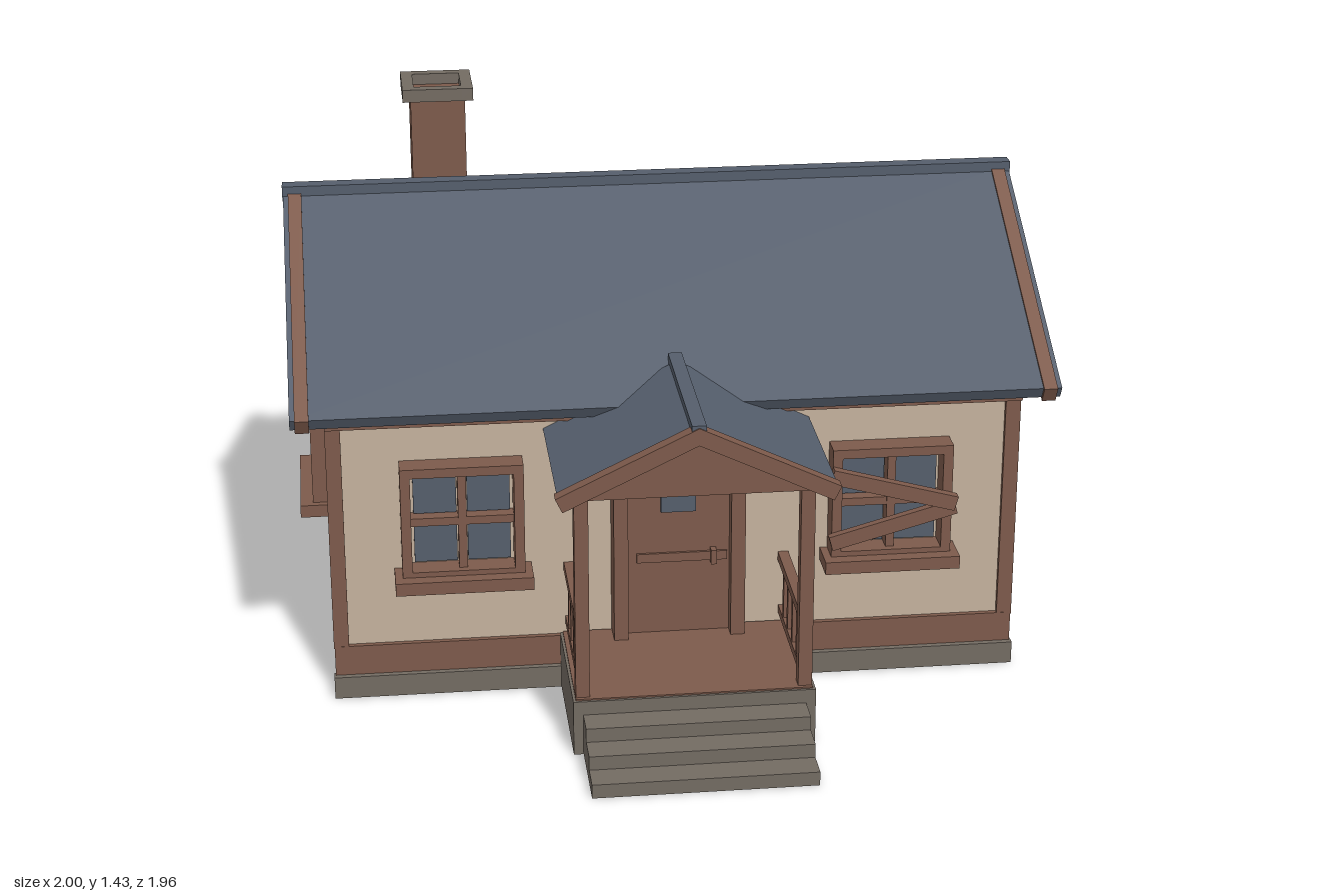
import * as THREE from 'three';

const mat = (name, color) => Object.assign(new THREE.MeshStandardMaterial({ color }), { name });
const wall = mat('plaster', 0xc4b19d);
const wood = mat('brown wood', 0x7d5a4b);
const slate = mat('slate blue', 0x555e6c);
const stone = mat('stone', 0x736b62);

const CZ = -0.268; // centre line of the house in z

function add(parent, name, geo, material) {
  const m = new THREE.Mesh(geo, material);
  m.name = name;
  parent.add(m);
  return m;
}

// Box given by its min and max on each axis
function box(parent, name, material, x0, x1, y0, y1, z0, z1) {
  const m = add(parent, name, new THREE.BoxGeometry(x1 - x0, y1 - y0, z1 - z0), material);
  m.position.set((x0 + x1) / 2, (y0 + y1) / 2, (z0 + z1) / 2);
  return m;
}

// Outline extruded along z, from z0 to z1
function prism(points, z0, z1) {
  const shape = new THREE.Shape(points.map(([x, y]) => new THREE.Vector2(x, y)));
  return new THREE.ExtrudeGeometry(shape, { depth: z1 - z0, bevelEnabled: false }).translate(0, 0, z0);
}

// Inverted V slab: h half span, peak underside height, s slope, t thickness
function chevron(h, peak, s, t, z0, z1) {
  const a = Math.atan(s), ex = h + t * Math.sin(a), low = peak - h * s, ey = low + t * Math.cos(a);
  return prism([[-h, low], [0, peak], [h, low], [ex, ey], [0, peak + t / Math.cos(a)], [-ex, ey]], z0, z1);
}

// Window on a wall plane z = 0, facing +z
function makeWindow(boarded) {
  const g = new THREE.Group();
  g.name = boarded ? 'boardedWindow' : 'window';
  for (const s of [-1, 1]) {
    box(g, 'frameSide', wood, s * 0.147 - 0.013, s * 0.147 + 0.013, 0.36, 0.665, -0.005, 0.065);
    for (const y of [0.437, 0.575]) {
      box(g, 'pane', slate, s * 0.07 - 0.056, s * 0.07 + 0.056, y - 0.056, y + 0.056, 0.004, 0.012);
    }
  }
  box(g, 'frameTop', wood, -0.134, 0.134, 0.64, 0.665, -0.005, 0.065);
  box(g, 'frameBottom', wood, -0.134, 0.134, 0.358, 0.374, -0.005, 0.065);
  box(g, 'mullionUpright', wood, -0.011, 0.011, 0.37, 0.645, 0, 0.045);
  box(g, 'mullionAcross', wood, -0.134, 0.134, 0.495, 0.517, 0, 0.042);
  box(g, 'sill', wood, -0.18, 0.18, 0.325, 0.36, -0.005, 0.1);
  if (boarded) {
    for (const s of [-1, 1]) {
      const b = box(g, 'nailedBoard', wood, -0.172, 0.172, -0.02, 0.02, 0.068, s > 0 ? 0.095 : 0.09);
      b.position.y = 0.505 + s * 0.051;
      b.rotation.z = -s * 0.27;
    }
  }
  return g;
}

function makeHouse() {
  const g = new THREE.Group();
  g.name = 'house';
  g.position.z = CZ;
  // Walls with gables
  add(g, 'walls', prism([[-0.61, 0.1], [0.61, 0.1], [0.61, 0.835], [0, 1.175], [-0.61, 0.835]], -0.89, 0.89), wall)
    .rotation.y = Math.PI / 2;
  box(g, 'skirting', wood, -0.91, 0.91, 0, 0.145, -0.624, 0.624);
  for (const s of [-1, 1]) {
    box(g, 'foundationStrip', stone, -0.914, 0.914, 0.001, 0.062, s * 0.625 - 0.015, s * 0.625 + 0.015);
    box(g, 'eaveBeam', wood, -0.912, 0.912, 0.768, 0.79, s * 0.62 - 0.018, s * 0.62 + 0.018);
    box(g, 'gableBeam', wood, s * 0.897 - 0.013, s * 0.897 + 0.013, 0.782, 0.808, -0.638, 0.638);
    box(g, 'gableBeamCap', wood, s * 0.9 - 0.018, s * 0.9 + 0.018, 0.806, 0.82, -0.638, 0.638);
    box(g, 'gableVent', wood, s * 0.897 - 0.017, s * 0.897 + 0.017, 0.89, 1.0, -0.054, 0.054);
    for (const t of [-1, 1]) {
      box(g, 'cornerPost', wood, s * 0.892 - 0.02, s * 0.892 + 0.02, 0.14, 0.78, t * 0.603 - 0.02, t * 0.603 + 0.02);
    }
    // Barge boards wrap the roof just inside each end
    add(g, 'bargeBoard', chevron(0.694, 1.168, 0.548, 0.047, s * 0.967 - 0.018, s * 0.967 + 0.018), wood)
      .rotation.y = Math.PI / 2;
  }
  add(g, 'roof', chevron(0.69, 1.175, 0.548, 0.035, -0.998, 0.998), slate).rotation.y = Math.PI / 2;
  box(g, 'ridgeCap', slate, -1, 1, 1.19, 1.23, -0.022, 0.022);

  // Windows: x, z, turn, boarded
  const H = Math.PI / 2;
  for (const [x, z, turn, boarded] of [
    [-0.565, 0.61, 0, false], [0.565, 0.61, 0, true],
    [0.565, -0.61, 2 * H, false], [-0.565, -0.61, 2 * H, true],
    [0.89, 0, H, true], [-0.89, 0, -H, false],
  ]) {
    const w = makeWindow(boarded);
    w.position.set(x, 0, z);
    w.rotation.y = turn;
    g.add(w);
  }
  return g;
}

function makeChimney() {
  const g = new THREE.Group();
  g.name = 'chimney';
  g.position.set(-0.566, 0, -0.548);
  box(g, 'chimneyStack', wood, -0.075, 0.075, 0.9, 1.4, -0.075, 0.075);
  for (const s of [-1, 1]) {
    box(g, 'capSide', stone, s * 0.081 - 0.016, s * 0.081 + 0.016, 1.395, 1.43, -0.097, 0.097);
    box(g, 'capEnd', stone, -0.065, 0.065, 1.395, 1.43, s * 0.081 - 0.016, s * 0.081 + 0.016);
  }
  return g;
}

function makeDoor() {
  const g = new THREE.Group();
  g.name = 'door';
  box(g, 'doorPanel', wood, -0.136, 0.136, 0.15, 0.66, 0.34, 0.38);
  box(g, 'doorFrameTop', wood, -0.174, 0.174, 0.655, 0.698, 0.34, 0.42);
  for (const s of [-1, 1]) {
    box(g, 'doorFrameSide', wood, s * 0.155 - 0.019, s * 0.155 + 0.019, 0.15, 0.655, 0.34, 0.42);
  }
  box(g, 'doorRail', wood, -0.11, 0.13, 0.36, 0.385, 0.375, 0.387);
  box(g, 'doorGlass', slate, -0.046, 0.046, 0.502, 0.6, 0.378, 0.385);
  box(g, 'doorHandle', wood, 0.085, 0.1, 0.355, 0.395, 0.38, 0.405);
  return g;
}

function makePorch() {
  const g = new THREE.Group();
  g.name = 'porch';
  box(g, 'porchBase', stone, -0.312, 0.312, 0, 0.15, 0.35, 0.747);
  box(g, 'porchFloor', wood, -0.305, 0.305, 0.148, 0.154, 0.35, 0.74);
  for (let i = 0; i < 3; i++) {
    box(g, 'step', stone, -0.287, 0.287, 0, 0.0375 * (3 - i), 0.74, 0.823 + 0.076 * i);
  }
  // Posts and railings
  for (const s of [-1, 1]) {
    const x = s * 0.286;
    box(g, 'porchPost', wood, x - 0.018, x + 0.018, 0.15, 0.73, 0.694, 0.73);
    box(g, 'topRail', wood, x - 0.014, x + 0.014, 0.33, 0.355, 0.345, 0.7);
    box(g, 'bottomRail', wood, x - 0.011, x + 0.011, 0.175, 0.198, 0.345, 0.7);
    for (const z of [0.415, 0.485, 0.56, 0.635]) {
      box(g, 'baluster', wood, x - 0.009, x + 0.009, 0.19, 0.335, z - 0.009, z + 0.009);
    }
  }
  // Roof with gable front
  add(g, 'porchRoof', chevron(0.336, 0.872, 0.48, 0.03, 0.33, 0.8), slate);
  add(g, 'porchBargeBoard', chevron(0.338, 0.866, 0.48, 0.041, 0.77, 0.806), wood);
  add(g, 'porchGable', prism([[-0.315, 0.722], [0.315, 0.722], [0, 0.873]], 0.7, 0.78), wood);
  box(g, 'porchRidgeCap', slate, -0.018, 0.018, 0.88, 0.917, 0.3, 0.802);
  return g;
}

export function createModel() {
  const model = new THREE.Group();
  model.name = 'cottage';
  model.add(makeHouse(), makeChimney(), makeDoor(), makePorch());
  return model;
}
